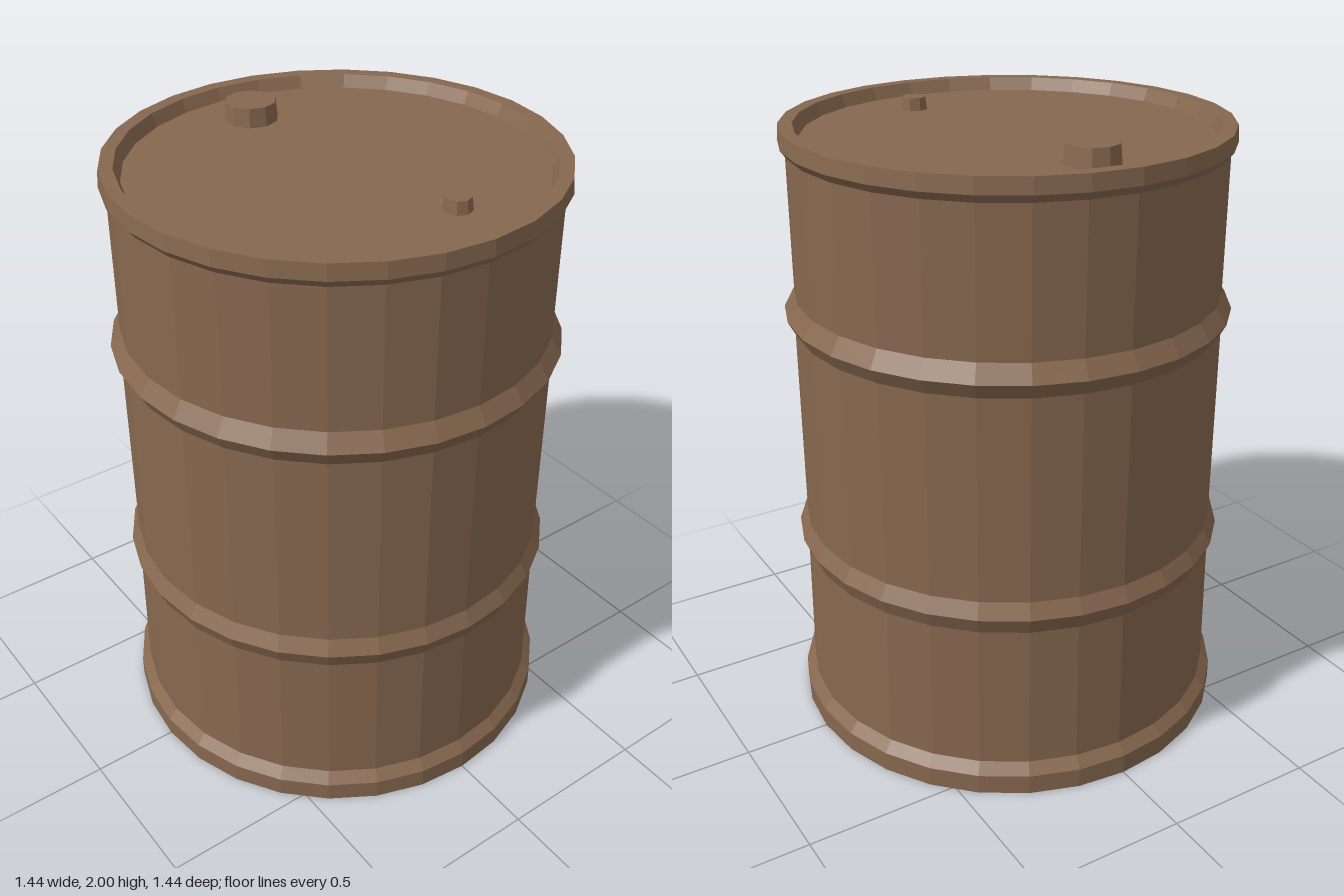
import * as THREE from 'three';

const SIDES = 28;

export function createModel() {
  const group = new THREE.Group();
  const brown = new THREE.MeshStandardMaterial({ color: 0x87684f });
  brown.name = 'rusty brown';

  // Adds a mesh with one normal per face for a faceted look
  function add(name, geometry, x = 0, y = 0, z = 0) {
    const faceted = geometry.toNonIndexed();
    faceted.computeVertexNormals();
    const mesh = new THREE.Mesh(faceted, brown);
    mesh.name = name;
    mesh.position.set(x, y, z);
    group.add(mesh);
  }

  const lathe = (points) =>
    new THREE.LatheGeometry(points.map(([r, y]) => new THREE.Vector2(r, y)), SIDES);

  // Wall with foot ring, two rolled hoops and top lip
  add('barrelWall', lathe([
    [0.72, 0], [0.72, 0.065], [0.69, 0.1],
    [0.685, 0.58], [0.708, 0.635], [0.682, 0.685],
    [0.682, 1.35], [0.71, 1.4], [0.677, 1.455],
    [0.677, 1.905], [0.697, 1.93], [0.693, 1.98],
    [0.65, 1.98], [0.632, 1.94],
  ]));

  // Closed ends
  const disc = (r) => new THREE.CircleGeometry(r, SIDES);
  add('lid', disc(0.632).rotateX(-Math.PI / 2), 0, 1.94, 0);
  add('base', disc(0.72).rotateX(Math.PI / 2));

  // Filler plug and small vent plug, standing on the lid
  const plug = (top, bottom, height, sides) =>
    new THREE.CylinderGeometry(top, bottom, height, sides).rotateY(Math.PI / 2);
  add('fillerPlug', plug(0.081, 0.087, 0.06, 10), -0.455, 1.97, 0);
  add('ventPlug', plug(0.039, 0.044, 0.04, 8), 0.437, 1.96, -0.093);

  return group;
}
